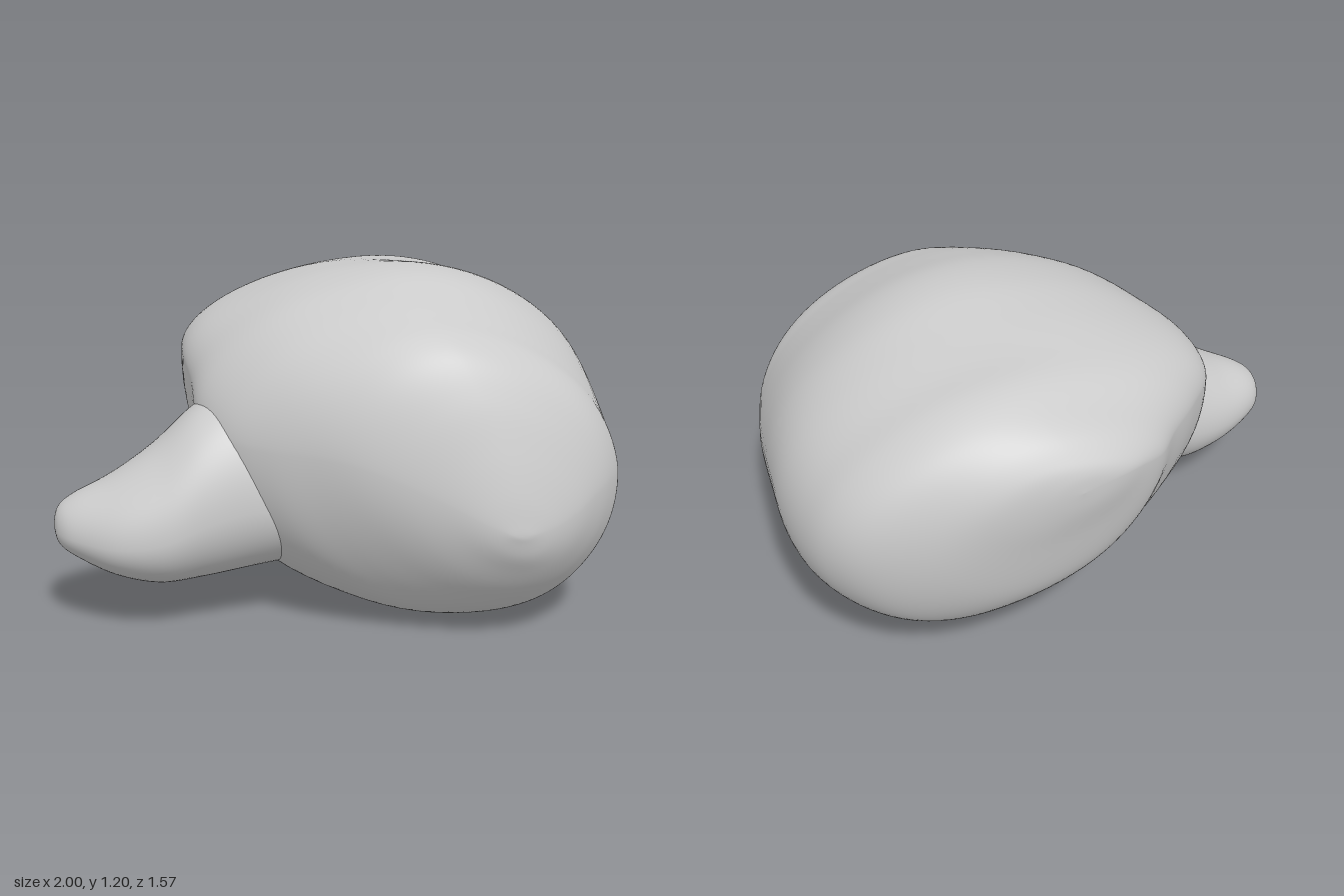
import * as THREE from 'three';

const { lerp, smoothstep } = THREE.MathUtils;

// Smooth interpolation through the rows of a section table
function sampleRows(rows, t) {
  const f = t * (rows.length - 1);
  const i = Math.min(Math.floor(f), rows.length - 2);
  const k = f - i;
  const row = (n) => rows[THREE.MathUtils.clamp(n, 0, rows.length - 1)];
  return rows[i].map((p1, c) => {
    const p0 = row(i - 1)[c], p2 = row(i + 1)[c], p3 = row(i + 2)[c];
    const m1 = (p2 - p0) / 2, m2 = (p3 - p1) / 2;
    return (2 * k ** 3 - 3 * k * k + 1) * p1 + (k ** 3 - 2 * k * k + k) * m1
      + (3 * k * k - 2 * k ** 3) * p2 + (k ** 3 - k * k) * m2;
  });
}

// Loft of lopsided ovals. Row: [w, u0, u1, v0, v1].
// shape(w) gives where along each side the oval touches its bounds, and the
// fullness power of its quadrants (above 1 is flatter, below 1 is fuller).
function loft(rows, rings, sides, shape, place) {
  const pos = [], index = [];
  for (let r = 0; r <= rings; r++) {
    const [w, u0, u1, v0, v1] = sampleRows(rows, r / rings);
    const s = shape(w);
    for (let j = 0; j < sides; j++) {
      const a = (j / sides) * Math.PI * 2;
      const c = Math.cos(a), n = Math.sin(a);
      const [e0, e1] = n >= 0 ? s.upper : s.lower;
      const e = c >= 0 ? e1 : e0;
      const uc = lerp(u0, u1, n >= 0 ? s.top : s.bottom);
      const vc = lerp(v0, v1, c >= 0 ? s.right : s.left);
      const u = lerp(uc, c >= 0 ? u1 : u0, Math.abs(c) ** e);
      const v = lerp(vc, n >= 0 ? v1 : v0, Math.abs(n) ** e);
      pos.push(...place(u, v, w));
      if (r < rings) {
        const p = r * sides + j, q = r * sides + (j + 1) % sides;
        index.push(p, q, p + sides, q, q + sides, p + sides);
      }
    }
  }
  const geo = new THREE.BufferGeometry();
  geo.setAttribute('position', new THREE.Float32BufferAttribute(pos, 3));
  geo.setIndex(index);
  geo.computeVertexNormals();
  return geo;
}

// Gentle unevenness of the surface
const bump = (x, y, z) =>
  0.004 * Math.sin(9 * x + 4 * y) * Math.sin(8 * z + 5 * y + 1);

export function createModel() {
  const group = new THREE.Group();
  const material = new THREE.MeshStandardMaterial({ color: 0xcccccc, roughness: 0.9 });
  const add = (name, geo) => {
    const mesh = new THREE.Mesh(geo, material);
    mesh.name = name;
    group.add(mesh);
  };

  // Main boulder, back to front: z, left x, right x, bottom y, top y
  const body = [
    [-0.787, 0.17, 0.17, 0.89, 0.89],
    [-0.780, 0.05, 0.29, 0.81, 0.95],
    [-0.755, -0.04, 0.47, 0.69, 1.00],
    [-0.70, -0.14, 0.65, 0.46, 1.06],
    [-0.61, -0.23, 0.83, 0.32, 1.11],
    [-0.50, -0.36, 0.93, 0.23, 1.15],
    [-0.36, -0.48, 0.98, 0.17, 1.165],
    [-0.18, -0.51, 1.00, 0.125, 1.185],
    [0.00, -0.50, 0.985, 0.08, 1.20],
    [0.17, -0.495, 0.965, 0.01, 1.185],
    [0.32, -0.43, 0.945, 0.00, 1.14],
    [0.44, -0.31, 0.92, 0.03, 1.095],
    [0.54, -0.17, 0.89, 0.085, 1.05],
    [0.62, -0.04, 0.83, 0.155, 0.98],
    [0.68, 0.09, 0.76, 0.22, 0.86],
    [0.73, 0.23, 0.68, 0.29, 0.70],
    [0.765, 0.34, 0.59, 0.35, 0.56],
    [0.782, 0.42, 0.51, 0.41, 0.46],
    [0.785, 0.46, 0.46, 0.43, 0.43],
  ];
  add('boulder', loft(body, 126, 96, (z) => {
    const front = smoothstep(z, 0.1, 0.7);
    const middle = smoothstep(z, -0.6, -0.2) * (1 - smoothstep(z, 0.1, 0.4));
    return {
      top: lerp(0.48, 0.4, front),
      bottom: 0.61,
      right: 0.47,
      left: lerp(0.71, 0.59, smoothstep(z, -0.3, 0.3)),
      upper: [1.1, lerp(1, 1.15, front)],
      lower: [lerp(1.05, 0.88, middle), 1],
    };
  }, (x, y, z) => [x + bump(y, z, x), y + bump(x, y, z), z]));

  // Side knob, tip to buried root: x, low y, high y, back z, front z
  const knob = [
    [-1.0, 0.36, 0.36, 0.15, 0.15],
    [-0.985, 0.30, 0.42, 0.08, 0.22],
    [-0.93, 0.255, 0.465, 0.02, 0.29],
    [-0.80, 0.19, 0.53, -0.04, 0.38],
    [-0.65, 0.15, 0.63, -0.08, 0.42],
    [-0.50, 0.155, 0.76, -0.10, 0.42],
    [-0.35, 0.165, 0.82, -0.16, 0.41],
    [-0.18, 0.18, 0.78, -0.25, 0.40],
    [0.00, 0.22, 0.70, -0.25, 0.34],
    [0.18, 0.32, 0.60, -0.10, 0.26],
    [0.25, 0.45, 0.45, 0.10, 0.10],
  ];
  add('sideKnob', loft(knob, 70, 64,
    () => ({ top: 0.42, bottom: 0.45, right: 0.5, left: 0.5, upper: [1, 1], lower: [1, 1] }),
    (y, z, x) => [x, y, z]));

  return group;
}
